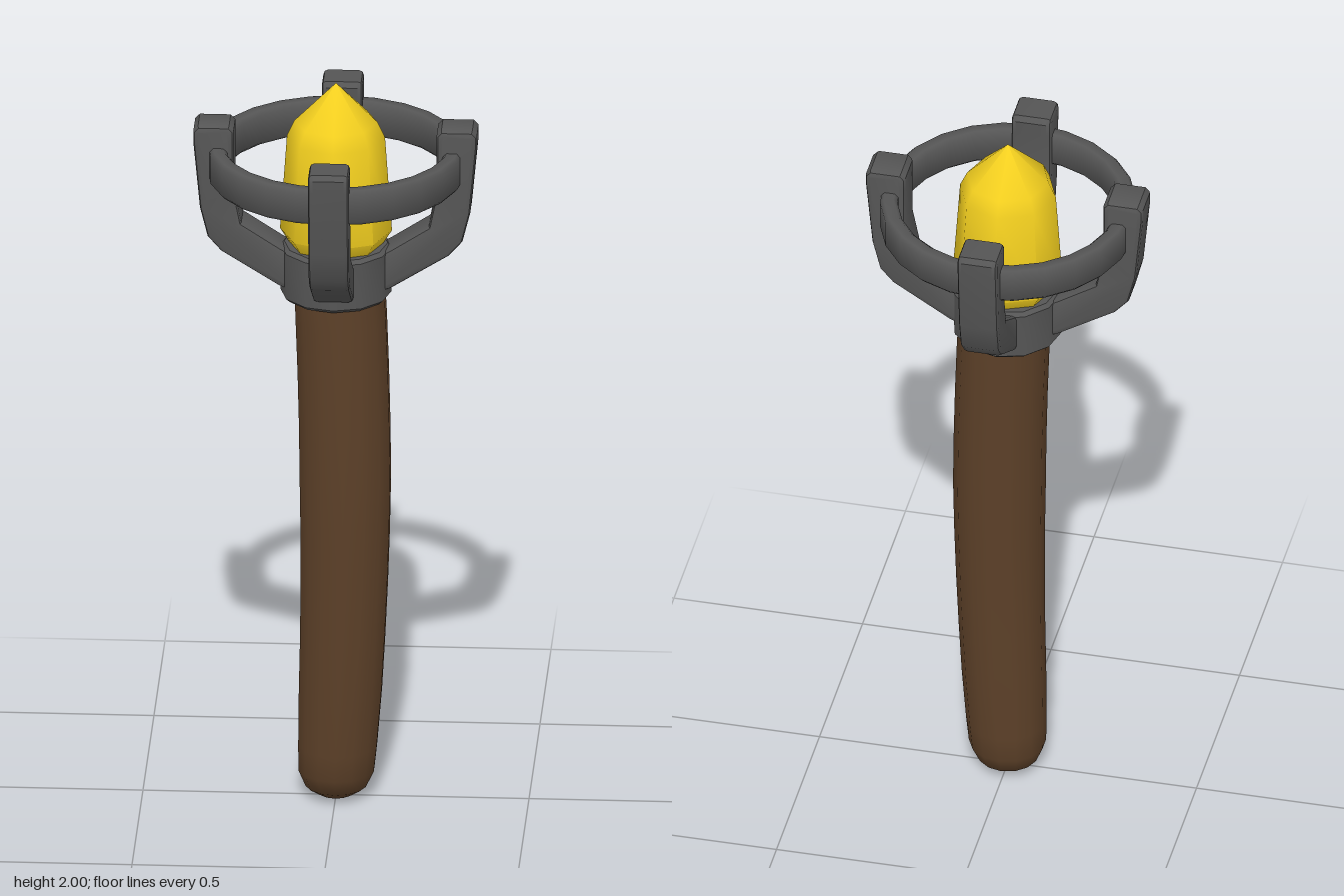
import * as THREE from 'three';
import { toCreasedNormals } from 'three/addons/utils/BufferGeometryUtils.js';

const wood = new THREE.MeshStandardMaterial({ color: 0x5c4028 });
const iron = new THREE.MeshStandardMaterial({ color: 0x555555 });
const gold = new THREE.MeshStandardMaterial({ color: 0xf4d01f });

const points = (list) => list.map(([x, y]) => new THREE.Vector2(x, y));

function part(name, geometry, material, crease = 0.7) {
  const mesh = new THREE.Mesh(toCreasedNormals(geometry, crease), material);
  mesh.name = name;
  return mesh;
}

const turned = (profile, sides) => new THREE.LatheGeometry(points(profile), sides);

// Round stick whose axis bows gently sideways along its height
function handleGeometry() {
  const profile = [[0, 0.005], [0.045, 0.012], [0.08, 0.035], [0.1, 0.08], [0.104, 0.15]];
  for (let y = 0.3; y < 1.4; y += 0.15) profile.push([0.104 + 0.016 * Math.min(1, y / 0.9), y]);
  profile.push([0.119, 1.45], [0, 1.45]);
  const geometry = turned(profile, 14);
  const pos = geometry.attributes.position;
  for (let i = 0; i < pos.count; i++) {
    const y = pos.getY(i);
    const bow = Math.sin(Math.PI * THREE.MathUtils.clamp((y - 0.05) / 1.6, 0, 1));
    pos.setX(i, pos.getX(i) + 0.025 * bow);
    pos.setZ(i, pos.getZ(i) + 0.01 * bow);
  }
  return geometry;
}

// Bent claw outlined in the x-y plane, with rounded edges
function prongGeometry() {
  const outline = points([
    [0.1, 1.43], [0.143, 1.445], [0.295, 1.54], [0.33, 1.58], [0.35, 1.66], [0.367, 1.84],
    [0.367, 1.875], [0.355, 1.888], [0.275, 1.888], [0.263, 1.875],
    [0.263, 1.84], [0.263, 1.72], [0.243, 1.62], [0.143, 1.555], [0.1, 1.53],
  ]);
  const bevel = 0.012;
  const geometry = new THREE.ExtrudeGeometry(new THREE.Shape(outline), {
    depth: 0.105 - 2 * bevel, bevelEnabled: true, bevelThickness: bevel,
    bevelSize: bevel, bevelOffset: -bevel, bevelSegments: 2,
  });
  return geometry.translate(0, 0, -0.0525 + bevel);
}

export function createModel() {
  const torch = new THREE.Group();
  torch.name = 'torch';

  torch.add(part('handle', handleGeometry(), wood, 0.9));

  // Collar gripping the top of the handle
  torch.add(part('collar', turned([
    [0, 1.41], [0.133, 1.41], [0.144, 1.42], [0.144, 1.545], [0.134, 1.555], [0, 1.555],
  ], 12), iron));

  // Faceted flame crystal
  torch.add(part('flame', turned([
    [0, 1.55], [0.12, 1.55], [0.145, 1.59], [0.127, 1.85], [0.108, 1.892], [0, 2],
  ], 8), gold, 0.85));

  // Hoop tying the prongs together
  torch.add(part('hoop', turned([
    [0.296, 1.735], [0.322, 1.735], [0.331, 1.745], [0.331, 1.82], [0.322, 1.83],
    [0.296, 1.83], [0.286, 1.82], [0.286, 1.745], [0.296, 1.735],
  ], 24), iron, 0.9));

  // Four prongs around the flame
  const claw = prongGeometry();
  for (let i = 0; i < 4; i++) {
    const prong = part('prong' + (i + 1), claw, iron);
    prong.rotation.y = (i * Math.PI) / 2;
    torch.add(prong);
  }
  return torch;
}
